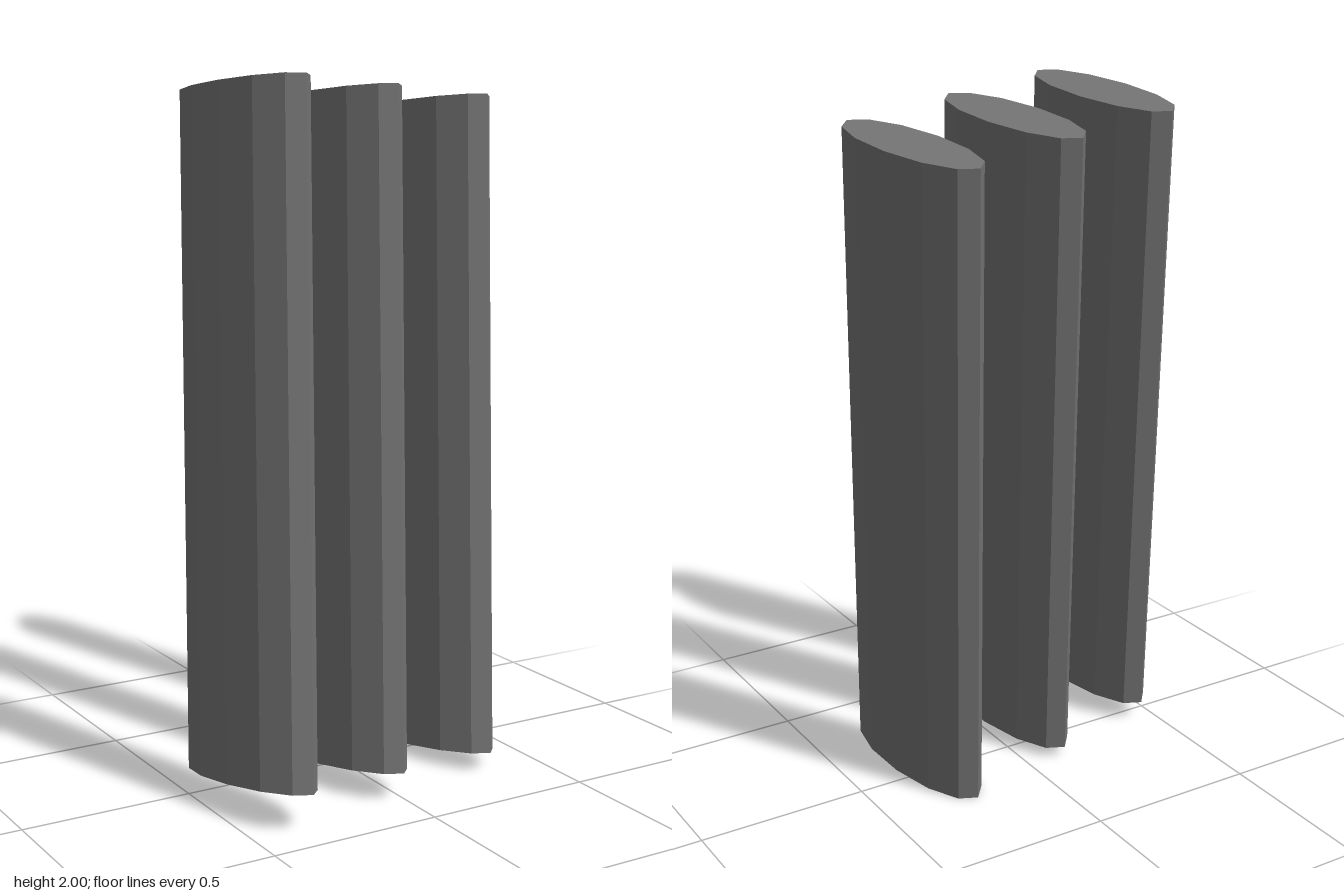
import * as THREE from 'three';

export function createModel() {
  const model = new THREE.Group();
  model.name = 'slantedPosts';
  const material = new THREE.MeshStandardMaterial({ color: 0x737373, flatShading: true });

  // Twelve-sided post with an elliptical section
  const geometry = new THREE.CylinderGeometry(1, 1, 1.907, 12);
  geometry.scale(0.0905, 1, 0.2567);

  // The row leans as one: the post axis is its up, the long section axis its depth
  const up = new THREE.Vector3(0.0603, 0.991, -0.1178).normalize();
  const depth = new THREE.Vector3(0.208, 0.103, 0.973);
  const across = new THREE.Vector3().crossVectors(up, depth).normalize();
  depth.crossVectors(across, up);

  const row = new THREE.Group();
  row.name = 'postRow';
  row.quaternion.setFromRotationMatrix(new THREE.Matrix4().makeBasis(across, up, depth));
  row.position.set(-0.007, 1.002, 0.001);
  model.add(row);

  // Three posts side by side, square to the lean
  const posts = { rightPost: -0.339, middlePost: 0, leftPost: 0.355 };
  for (const [name, x] of Object.entries(posts)) {
    const post = new THREE.Mesh(geometry, material);
    post.name = name;
    post.position.x = x;
    row.add(post);
  }
  return model;
}
